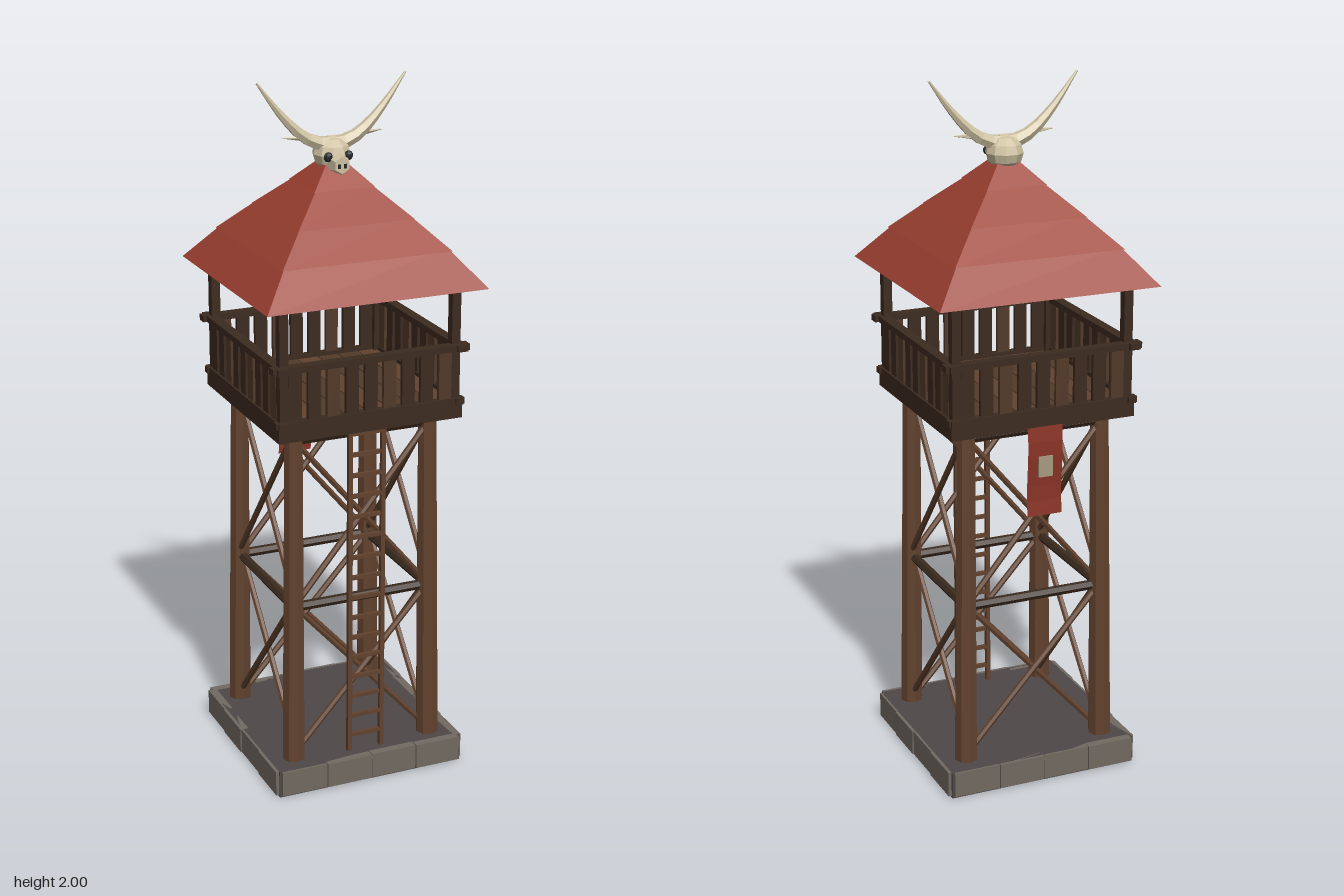
import * as THREE from 'three';

const mat = (name, color) => {
  const m = new THREE.MeshStandardMaterial({ color, flatShading: true });
  m.name = name;
  return m;
};

export function createModel() {
  const M = {
    wood: mat('wood', 0x62422e), plank: mat('plank wood', 0x523a29), dark: mat('dark wood', 0x3c2b1f),
    roof: mat('roof red', 0x9c4030), banner: mat('banner red', 0x8a3426), stone: mat('stone', 0x726a61),
    slab: mat('slab grey', 0x4e4749), bone: mat('bone', 0xcfc2a2), socket: mat('socket black', 0x25282a),
    patch: mat('patch tan', 0xa89a80),
  };
  M.banner.side = THREE.DoubleSide;
  const model = new THREE.Group();
  model.name = 'watchtower';

  const add = (parent, name, geo, m, x = 0, y = 0, z = 0) => {
    const mesh = new THREE.Mesh(geo, m);
    mesh.name = name;
    mesh.position.set(x, y, z);
    parent.add(mesh);
    return mesh;
  };
  const box = (parent, name, m, w, h, d, x, y, z) =>
    add(parent, name, new THREE.BoxGeometry(w, h, d), m, x, y, z);
  // Round pole from a to b
  const pole = (parent, name, m, a, b, r0, r1 = r0, sides = 6) => {
    const A = new THREE.Vector3(...a), B = new THREE.Vector3(...b);
    const dir = B.clone().sub(A);
    const mesh = add(parent, name, new THREE.CylinderGeometry(r1, r0, dir.length(), sides), m);
    mesh.position.copy(A).add(B).multiplyScalar(0.5);
    mesh.quaternion.setFromUnitVectors(new THREE.Vector3(0, 1, 0), dir.normalize());
    return mesh;
  };
  // Repeat one side around the tower
  const fourSides = (name, build) => {
    for (let k = 0; k < 4; k++) {
      const g = new THREE.Group();
      g.name = name;
      g.rotation.y = k * Math.PI / 2;
      build(g);
      model.add(g);
    }
  };

  // Stone footing
  box(model, 'foundationSlab', M.slab, 0.57, 0.08, 0.57, 0, 0.04, 0);
  fourSides('foundationSide', g => {
    for (let i = 0; i < 4; i++) {
      box(g, 'foundationBlock', M.stone, 0.138, 0.074, 0.025, -0.21 + i * 0.14, 0.043, 0.279 + (i % 2) * 0.003);
    }
  });

  // Legs, beams and cross braces
  fourSides('frameSide', g => {
    pole(g, 'leg', M.wood, [0.213, 0.08, 0.213], [0.203, 1.09, 0.203], 0.034, 0.027, 8);
    for (const y of [0.55, 1.05]) pole(g, 'crossBeam', M.dark, [-0.2, y, 0.207], [0.2, y, 0.207], 0.014);
    for (const [y0, y1] of [[0.11, 0.54], [0.57, 1.04]]) {
      for (const s of [-1, 1]) {
        pole(g, 'brace', M.wood, [-0.195 * s, y0, 0.207 + s * 0.006], [0.195 * s, y1, 0.207 + s * 0.006], 0.009);
      }
    }
  });

  // Ladder
  const ladder = new THREE.Group();
  ladder.name = 'ladder';
  model.add(ladder);
  for (const s of [-1, 1]) box(ladder, 'ladderRail', M.wood, 0.013, 1.0, 0.013, s * 0.05, 0.58, 0.24);
  for (let i = 0; i < 16; i++) box(ladder, 'ladderRung', M.wood, 0.1, 0.011, 0.011, 0, 0.13 + i * 0.0617, 0.24);

  // Deck
  box(model, 'deckBase', M.dark, 0.52, 0.02, 0.52, 0, 1.09, 0);
  for (let i = 0; i < 8; i++) {
    box(model, 'deckPlank', i % 3 === 1 ? M.wood : M.plank, 0.062, 0.018, 0.52, -0.2275 + i * 0.065, 1.109, 0);
  }

  // Railing and roof posts
  fourSides('railingSide', g => {
    box(g, 'rimBeam', M.dark, 0.55, 0.042, 0.026, 0, 1.092, 0.262);
    box(g, 'lowerRail', M.dark, 0.565, 0.018, 0.022, 0, 1.12, 0.265);
    box(g, 'topRail', M.dark, 0.585, 0.018, 0.03, 0, 1.277, 0.267);
    for (let i = 0; i < 9; i++) {
      box(g, 'picket', [M.dark, M.plank, M.dark][(i * 2) % 3], 0.038, 0.16, 0.012,
        -0.224 + i * 0.056, 1.195, 0.264);
    }
    box(g, 'roofPost', M.dark, 0.026, 0.4, 0.026, 0.256, 1.27, 0.256);
  });

  // Tiered roof
  const tiers = [[0.325, 0.24, 1.45, 1.552], [0.25, 0.163, 1.545, 1.632],
    [0.172, 0.08, 1.625, 1.712], [0.09, 0.012, 1.705, 1.785]];
  for (const [low, high, y0, y1] of tiers) {
    const geo = new THREE.CylinderGeometry(high * Math.SQRT2, low * Math.SQRT2, y1 - y0, 4);
    add(model, 'roofTier', geo.rotateY(Math.PI / 4), M.roof, 0, (y0 + y1) / 2, 0);
  }

  // Hanging banner on the back, gently waved
  const cloth = new THREE.PlaneGeometry(0.104, 0.26, 1, 6);
  const p = cloth.attributes.position;
  for (let i = 0; i < p.count; i++) p.setZ(i, 0.004 * Math.sin(p.getY(i) * 24));
  cloth.computeVertexNormals();
  add(model, 'banner', cloth.rotateY(Math.PI), M.banner, 0, 0.95, -0.28);
  box(model, 'bannerPatch', M.patch, 0.042, 0.06, 0.008, 0, 0.965, -0.283);

  // Horned skull on the peak
  const skull = new THREE.Group();
  skull.name = 'skull';
  model.add(skull);
  add(skull, 'cranium', new THREE.SphereGeometry(0.054, 10, 6), M.bone, 0, 1.788, -0.003).scale.set(1, 0.88, 1.03);
  const snout = new THREE.CylinderGeometry(0.024, 0.036, 0.05, 6).rotateX(Math.PI / 2);
  add(skull, 'snout', snout, M.bone, 0, 1.768, 0.046);
  add(skull, 'browKnob', new THREE.IcosahedronGeometry(0.026, 0), M.bone, 0, 1.816, 0);
  for (const s of [-1, 1]) {
    const socket = add(skull, 'eyeSocket', new THREE.SphereGeometry(0.014, 6, 5), M.socket, s * 0.03, 1.788, 0.044);
    socket.scale.z = 0.7;
    add(skull, 'nostril', new THREE.BoxGeometry(0.008, 0.012, 0.006), M.socket, s * 0.009, 1.766, 0.07);

    // Horn: tube narrowed toward its tip
    const pts = [[0, 1.812], [0.045, 1.82], [0.09, 1.845], [0.15, 1.905], [0.22, 1.997]];
    const curve = new THREE.CatmullRomCurve3(pts.map(([x, y]) => new THREE.Vector3(s * x, y, 0)));
    const segs = 8, sides = 6;
    const horn = new THREE.TubeGeometry(curve, segs, 1, sides);
    const hp = horn.attributes.position, v = new THREE.Vector3();
    for (let i = 0; i < hp.count; i++) {
      const t = Math.floor(i / (sides + 1)) / segs, c = curve.getPointAt(t);
      v.fromBufferAttribute(hp, i).sub(c).multiplyScalar(0.003 + 0.021 * (1 - t)).add(c);
      hp.setXYZ(i, v.x, v.y, v.z);
    }
    horn.computeVertexNormals();
    add(skull, 'horn', horn, M.bone);
    pole(skull, 'hornSpur', M.bone, [s * 0.085, 1.838, 0], [s * 0.148, 1.842, 0], 0.01, 0.001, 5);
  }
  return model;
}
